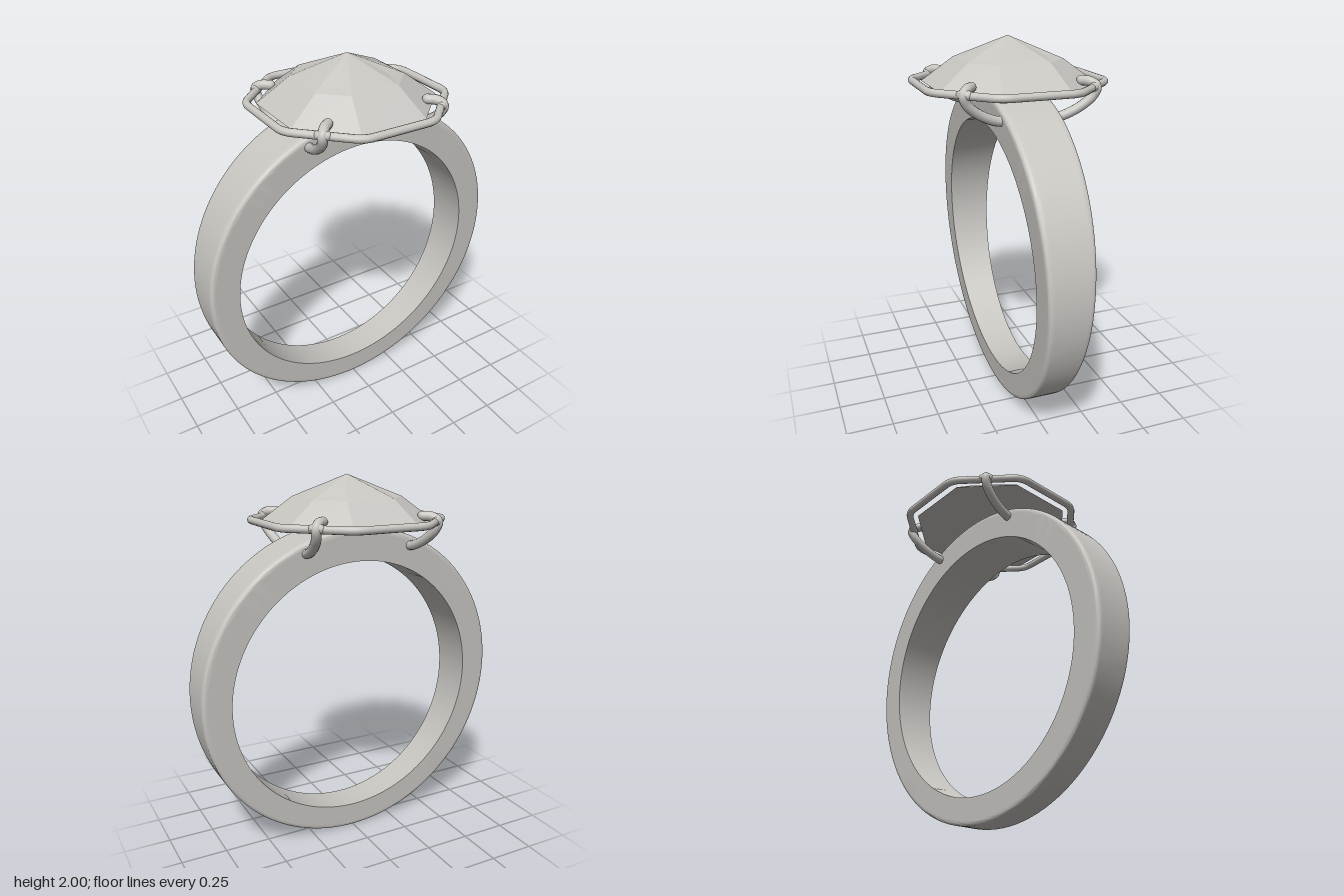
import * as THREE from 'three';
import { toCreasedNormals } from 'three/addons/utils/BufferGeometryUtils.js';

const metal = new THREE.MeshStandardMaterial({ color: 0xc8c6c1 });
metal.name = 'pale silver';

function add(parent, geometry, name) {
  const mesh = new THREE.Mesh(geometry, metal);
  mesh.name = name;
  parent.add(mesh);
  return mesh;
}

// Ring band: a lathed rounded section, wider towards the top
function bandGeometry() {
  const inner = 0.7125, outer = 0.8675, h = 0.1175, r = 0.02;
  const pts = [[inner, -h], [inner + 0.01, -h], [outer - r - 0.01, -h]];
  for (let i = 0; i <= 5; i++) {
    const a = -Math.PI / 2 + (i / 5) * Math.PI / 2;
    pts.push([outer - r + r * Math.cos(a), -h + r + r * Math.sin(a)]);
  }
  pts.push([outer, -h + r + 0.01], [outer, h - r - 0.01]);
  for (let i = 0; i <= 5; i++) {
    const a = (i / 5) * Math.PI / 2;
    pts.push([outer - r + r * Math.cos(a), h - r + r * Math.sin(a)]);
  }
  pts.push([outer - r - 0.01, h], [inner + 0.01, h], [inner, h], [inner, -h]);
  const geo = new THREE.LatheGeometry(pts.map(p => new THREE.Vector2(...p)), 128);
  geo.rotateX(Math.PI / 2);
  const pos = geo.attributes.position;
  for (let i = 0; i < pos.count; i++) {
    const x = pos.getX(i), y = pos.getY(i);
    const t = (Math.hypot(x, y) - inner) / (outer - inner);
    const newY = y + 0.8575 + 0.015 * t; // finger hole sits slightly low
    pos.setY(i, newY);
    pos.setZ(i, pos.getZ(i) * (0.085 + 0.0375 * newY) / h);
  }
  return toCreasedNormals(geo, 0.6);
}

// Cut stone: octagon base, eight lower facets, sixteen upper facets
function gemGeometry() {
  const polar = (r, a, y) => [r * Math.cos(a), y, r * Math.sin(a)];
  const rad = Math.PI / 180;
  const apex = [0, 2, 0], centre = [0, 1.765, 0], v = [];
  const tri = (a, b, c) => v.push(...a, ...b, ...c);
  for (let i = 0; i < 8; i++) {
    const mid = i * 45 * rad;
    const odd = i % 2 === 1;
    const baseHalf = (odd ? 21.5 : 23.5) * rad;
    const ringHalf = (odd ? 17.5 : 27.5) * rad;
    const c0 = polar(0.452, mid - baseHalf, 1.765);
    const c1 = polar(0.452, mid + baseHalf, 1.765);
    const m0 = polar(0.285, mid - ringHalf, 1.888);
    const m1 = polar(0.285, mid + ringHalf, 1.888);
    const n = polar(odd ? 0.205 : 0.22, mid, odd ? 1.91 : 1.905);
    tri(c0, m0, c1);
    tri(m0, m1, c1);
    tri(m0, n, m1);
    tri(apex, n, m0);
    tri(apex, m1, n);
    tri(centre, c0, c1);
  }
  const geo = new THREE.BufferGeometry();
  geo.setAttribute('position', new THREE.Float32BufferAttribute(v, 3));
  geo.computeVertexNormals();
  return geo;
}

// Wire frame around the stone: octagon path with rounded corners
function haloGeometry() {
  const s = 0.467, k = 0.197, y = 1.772;
  const corners = [[s, -k], [s, k], [k, s], [-k, s], [-s, k], [-s, -k], [-k, -s], [k, -s]]
    .map(([x, z]) => new THREE.Vector3(x, y, z));
  const path = new THREE.CurvePath();
  corners.forEach((c, i) => {
    const prev = corners[(i + 7) % 8], next = corners[(i + 1) % 8];
    const cut = (to) => c.clone().add(to.clone().sub(c).setLength(0.05));
    path.add(new THREE.QuadraticBezierCurve3(cut(prev), c, cut(next)));
    const end = next.clone().add(c.clone().sub(next).setLength(0.05));
    path.add(new THREE.LineCurve3(cut(next), end));
  });
  return new THREE.TubeGeometry(path, 192, 0.02, 12, true);
}

// Claw: rises from the band side, bends round the wire, hooks over the stone
function addProng(parent, sx, sz) {
  const prong = new THREE.Group();
  prong.name = 'prong';
  const pts = [
    [0.30, 1.63, 0.12], [0.305, 1.635, 0.17], [0.318, 1.675, 0.26], [0.333, 1.73, 0.325],
    [0.34, 1.775, 0.342], [0.318, 1.797, 0.318], [0.28, 1.8, 0.285],
  ].map(([x, y, z]) => new THREE.Vector3(x * sx, y, z * sz));
  const curve = new THREE.CatmullRomCurve3(pts);
  add(prong, new THREE.TubeGeometry(curve, 40, 0.025, 12), 'prongWire');
  [pts[0], pts[6]].forEach((p, i) => {
    add(prong, new THREE.SphereGeometry(0.025, 12, 8), i ? 'prongTip' : 'prongFoot').position.copy(p);
  });
  // Small bead where the claw meets the wire frame
  const bead = add(prong, new THREE.SphereGeometry(0.03, 14, 10), 'prongBead');
  bead.position.set(0.335 * sx, 1.775, 0.335 * sz);
  bead.scale.set(1.5, 0.9, 0.9);
  bead.rotation.y = sx * sz * Math.PI / 4;
  parent.add(prong);
}

export function createModel() {
  const ring = new THREE.Group();
  ring.name = 'ring';
  add(ring, bandGeometry(), 'band');
  add(ring, gemGeometry(), 'gemstone');
  add(ring, haloGeometry(), 'settingWire');
  for (const sx of [-1, 1]) for (const sz of [-1, 1]) addProng(ring, sx, sz);
  return ring;
}
